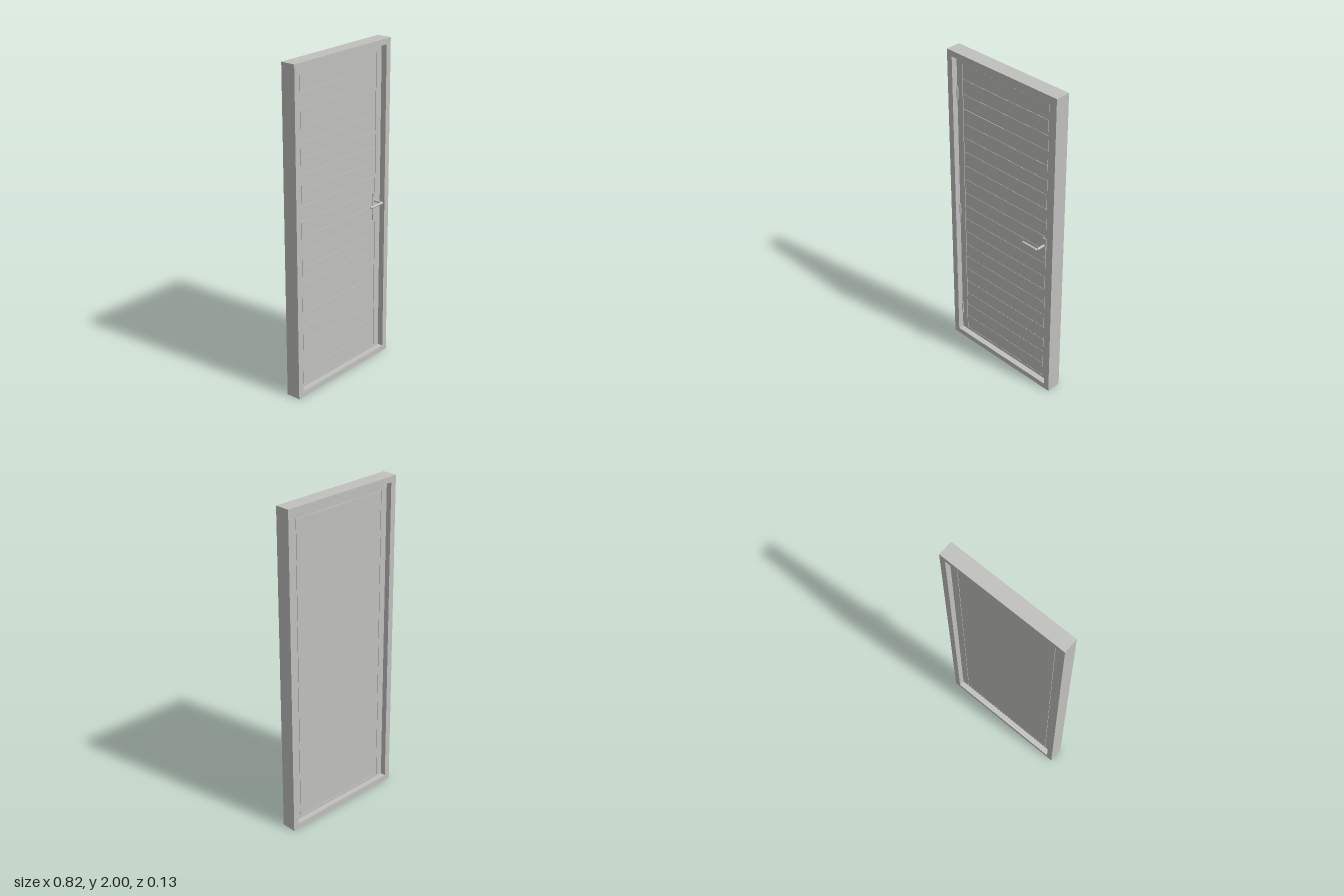
import * as THREE from 'three';

export function createModel() {
  const model = new THREE.Group();
  const paint = new THREE.MeshStandardMaterial({ color: 0xc0c0bd });
  paint.name = 'light grey';

  const add = (name, geometry, parent = model) => {
    const mesh = new THREE.Mesh(geometry, paint);
    mesh.name = name;
    parent.add(mesh);
    return mesh;
  };
  // Box given by its minimum and maximum along each axis
  const box = (name, x0, x1, y0, y1, z0, z1, parent) => {
    const mesh = add(name, new THREE.BoxGeometry(x1 - x0, y1 - y0, z1 - z0), parent);
    mesh.position.set((x0 + x1) / 2, (y0 + y1) / 2, (z0 + z1) / 2);
    return mesh;
  };

  // Outer frame: full-height jambs with head and sill between them
  const back = -0.065, front = 0.027;
  const outer = 0.41, inner = 0.373;
  const frame = new THREE.Group();
  frame.name = 'frame';
  model.add(frame);
  box('leftJamb', inner, outer, 0, 2, back, front, frame);
  box('rightJamb', -outer, -inner, 0, 2, back, front, frame);
  box('head', -inner, inner, 1.965, 2, back, front, frame);
  box('sill', -inner, inner, 0, 0.035, back, front, frame);

  // Door leaf: stiles and rails around a core
  const leaf = new THREE.Group();
  leaf.name = 'leaf';
  model.add(leaf);
  const leafBack = -0.031, leafFront = -0.009;
  const px0 = -0.33, px1 = 0.327, py0 = 0.052, py1 = 1.922;
  box('rightStile', -inner, px0, 0.035, 1.965, leafBack, leafFront, leaf);
  box('leftStile', px1, inner, 0.035, 1.965, leafBack, leafFront, leaf);
  box('topRail', px0, px1, py1, 1.965, leafBack, leafFront, leaf);
  box('bottomRail', px0, px1, 0.035, py0, leafBack, leafFront, leaf);
  box('core', px0, px1, py0, py1, -0.027, -0.014, leaf);
  const gap = 0.003;
  box('backPanel', px0 + gap, px1 - gap, py0 + gap, py1 - gap, leafBack, -0.026, leaf);

  // Horizontal boards with narrow grooves
  const boards = 20, pitch = (py1 - py0) / boards;
  for (let i = 0; i < boards; i++) {
    const y = py0 + i * pitch;
    box('board', px0 + gap, px1 - gap, y + 0.001, y + pitch - 0.001, -0.015, leafFront - 0.001, leaf);
  }

  // Hinges
  for (const y of [0.19, 0.94, 1.73]) {
    const hinge = add('hinge', new THREE.CylinderGeometry(0.005, 0.005, 0.08, 16));
    hinge.position.set(-0.369, y, leafFront + 0.003);
  }

  // Lever handle: plate, neck, grip and lock cylinder
  const handle = new THREE.Group();
  handle.name = 'handle';
  model.add(handle);
  box('handlePlate', 0.304, 0.331, 0.9, 1.07, leafFront - 0.002, leafFront + 0.005, handle);
  const neck = add('neck', new THREE.CylinderGeometry(0.007, 0.007, 0.057, 20), handle);
  neck.rotation.x = Math.PI / 2;
  neck.position.set(0.317, 1.022, 0.0205);
  const grip = add('grip', new THREE.CapsuleGeometry(0.0075, 0.1, 5, 20), handle);
  grip.rotation.z = Math.PI / 2;
  grip.position.set(0.2625, 1.022, 0.0555);
  const lock = add('lockCylinder', new THREE.CylinderGeometry(0.006, 0.006, 0.004, 20), handle);
  lock.rotation.x = Math.PI / 2;
  lock.position.set(0.317, 0.94, leafFront + 0.006);

  return model;
}
